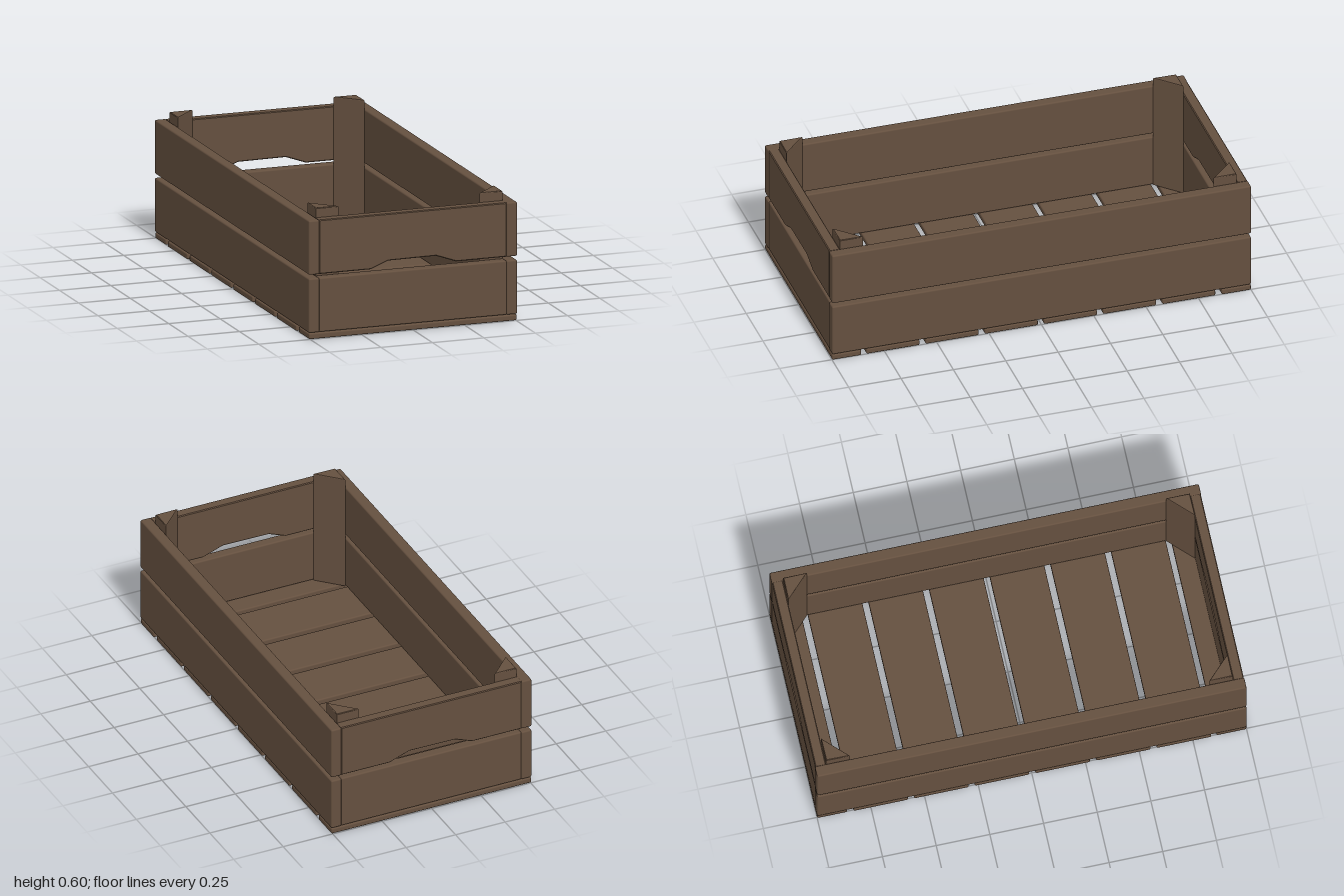
import * as THREE from 'three';
import { RoundedBoxGeometry } from 'three/addons/geometries/RoundedBoxGeometry.js';

export function createModel() {
  const crate = new THREE.Group();
  crate.name = 'woodenCrate';
  const wood = new THREE.MeshStandardMaterial({ color: 0x65503f });
  wood.name = 'brownWood';

  function add(name, geometry, x, y, z) {
    const mesh = new THREE.Mesh(geometry, wood);
    mesh.name = name;
    mesh.position.set(x, y, z);
    crate.add(mesh);
    return mesh;
  }

  // Plank with softened edges, given by its limits
  function plank(name, x0, x1, y0, y1, z0, z1) {
    const geometry = new RoundedBoxGeometry(x1 - x0, y1 - y0, z1 - z0, 2, 0.007);
    return add(name, geometry, (x0 + x1) / 2, (y0 + y1) / 2, (z0 + z1) / 2);
  }

  // Flat outline extruded to a depth
  function extrude(points, depth, bevel) {
    const shape = new THREE.Shape(points.map(([x, y]) => new THREE.Vector2(x, y)));
    return new THREE.ExtrudeGeometry(shape, {
      depth: depth - 2 * bevel, bevelEnabled: bevel > 0, bevelThickness: bevel,
      bevelSize: bevel, bevelOffset: -bevel, bevelSegments: 1,
    }).translate(0, 0, bevel);
  }

  // Floor slats: narrow ones at both ends, six wide ones between
  plank('endSlat', -0.505, 0.505, 0, 0.028, 0.86, 1);
  plank('endSlat', -0.505, 0.505, 0, 0.028, -1, -0.86);
  for (let i = 0; i < 6; i++) {
    const z = -0.704 + i * 0.2825;
    plank('floorSlat', -0.507, 0.503, 0, 0.028, z - 0.127, z + 0.127);
  }

  // Long side boards, two high
  for (const side of [-1, 1]) {
    const x = side * 0.48;
    plank('lowerSideBoard', x - 0.026, x + 0.026, 0.03, 0.284, -1, 1);
    plank('upperSideBoard', x - 0.026, x + 0.026, 0.302, 0.556, -1, 1);
  }

  // End boards, the upper one with a hand-hold cut from its lower edge
  const handBoard = extrude([
    [-0.456, 0.302], [-0.205, 0.302], [-0.12, 0.335], [0.112, 0.337],
    [0.21, 0.302], [0.456, 0.302], [0.456, 0.556], [-0.456, 0.556],
  ], 0.05, 0.004);
  for (const z of [-0.973, 0.973]) {
    plank('lowerEndBoard', -0.456, 0.456, 0.03, 0.284, z - 0.025, z + 0.025);
    add('upperEndBoard', handBoard, 0, 0, z - 0.025);
  }

  // Triangular corner posts, right angle tucked into each corner
  for (const sx of [-1, 1]) {
    for (const sz of [-1, 1]) {
      const post = extrude([
        [sx * 0.453, sz * 0.947], [sx * 0.343, sz * 0.947], [sx * 0.453, sz * 0.837],
      ], 0.572, 0.003);
      // Lay the outline flat: its y becomes z, its depth runs downward
      post.rotateX(Math.PI / 2);
      add('cornerPost', post, 0, 0.6, 0);
    }
  }

  return crate;
}
